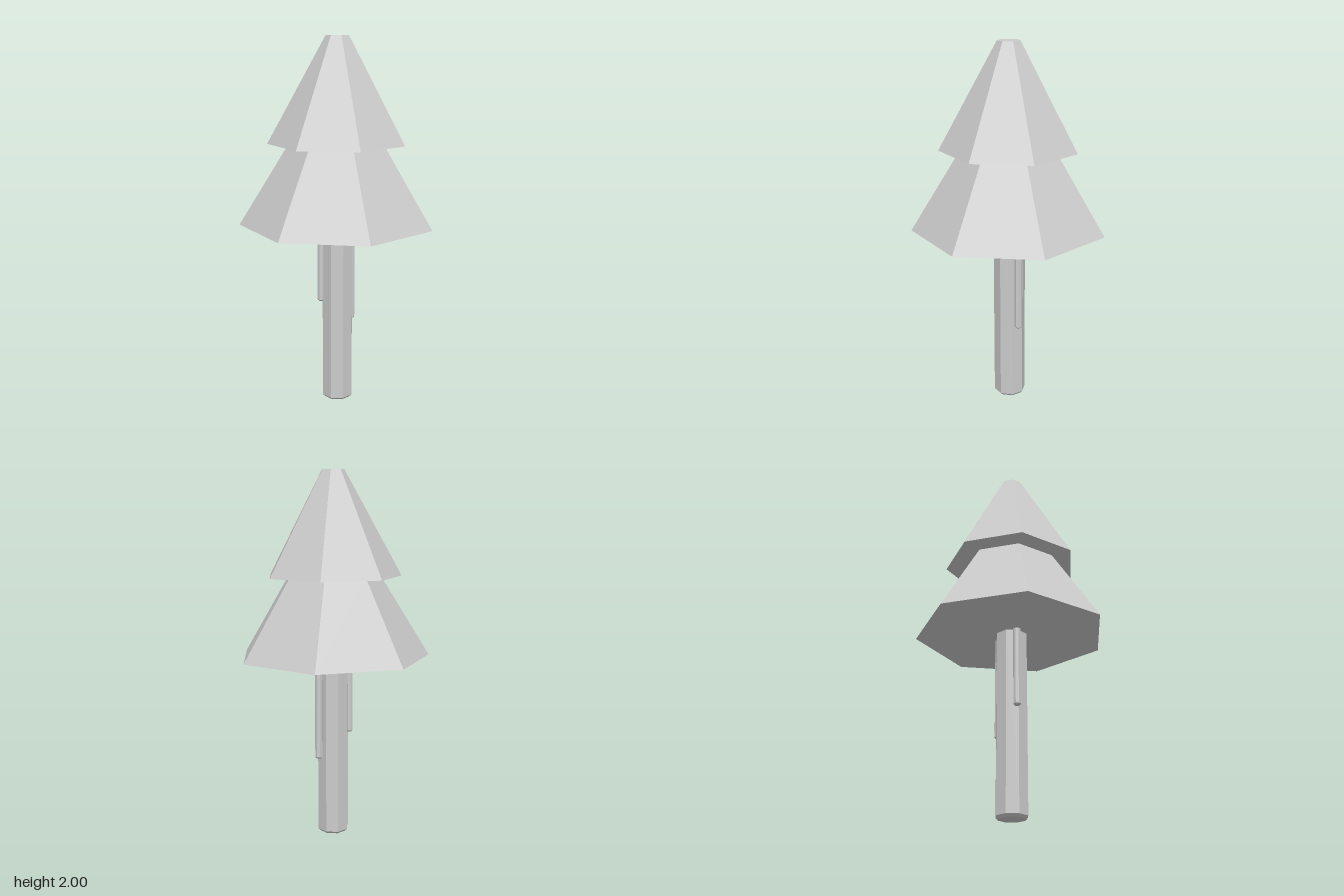
import * as THREE from 'three';

const AXIS_Z = 0.025;

export function createModel() {
  const tree = new THREE.Group();
  tree.name = 'tree';
  const material = new THREE.MeshStandardMaterial({ color: 0xcccccc, flatShading: true });

  function add(name, geometry, x, y, z) {
    const mesh = new THREE.Mesh(geometry, material);
    mesh.name = name;
    mesh.position.set(x, y, z);
    tree.add(mesh);
  }

  // Seven-sided foliage tier with a corner pointing backwards
  function tier(name, bottomRadius, topRadius, y0, y1) {
    const geometry = new THREE.CylinderGeometry(topRadius, bottomRadius, y1 - y0, 7, 1, false, Math.PI);
    add(name, geometry, 0, (y0 + y1) / 2, AXIS_Z);
  }

  // Upright post with a small chamfer around its foot
  function post(name, radius, sides, y0, y1, x, z, chamfer) {
    const profile = [
      [0, y0], [radius - chamfer, y0], [radius, y0 + chamfer], [radius, y1], [0, y1],
    ].map(([r, y]) => new THREE.Vector2(r, y));
    add(name, new THREE.LatheGeometry(profile, sides, Math.PI / sides), x, 0, z);
  }

  tier('lowerFoliage', 0.529, 0.256, 1.005, 1.445);
  tier('upperFoliage', 0.373, 0.062, 1.44, 2);

  post('trunk', 0.087, 8, 0, 1.02, 0, AXIS_Z, 0.014);

  // Thin hanging stems beside the trunk
  post('leftStem', 0.021, 8, 0.44, 1.02, 0.1, 0.03, 0.008);
  post('rightStem', 0.021, 8, 0.57, 1.02, -0.08, -0.02, 0.008);

  return tree;
}
